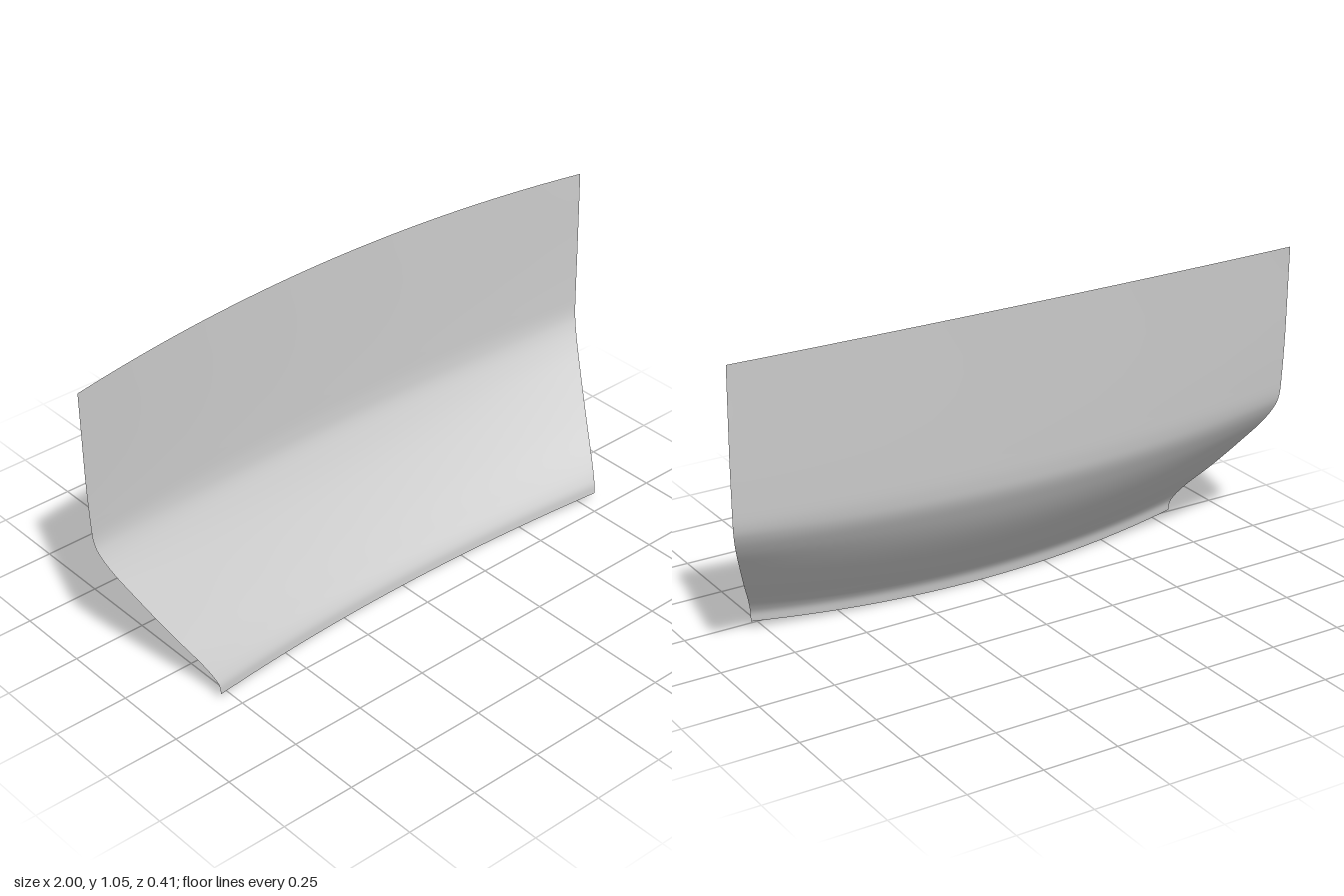
import * as THREE from 'three';

// Matching [y, z] profiles from top to bottom: along the middle and along the side edge
const middle = [
  [1.05, -0.205], [0.6, -0.194], [0.5, -0.189], [0.45, -0.18], [0.386, -0.15], [0.305, -0.1],
  [0.19, -0.01], [0.1, 0.072], [0.058, 0.112], [0.033, 0.127], [0, 0.133],
];
const edge = [
  [1.025, -0.13], [0.6, -0.121], [0.505, -0.114], [0.465, -0.1], [0.41, -0.068], [0.335, -0.012],
  [0.225, 0.075], [0.13, 0.157], [0.085, 0.189], [0.06, 0.201], [0.03, 0.205],
];

const profile = (points) =>
  new THREE.CatmullRomCurve3(points.map(([y, z]) => new THREE.Vector3(0, y, z)));

export function createModel() {
  const model = new THREE.Group();
  model.name = 'curvedPanel';

  const lightGrey = new THREE.MeshStandardMaterial({ color: 0xcccccc, side: THREE.DoubleSide });
  lightGrey.name = 'lightGrey';

  const middleCurve = profile(middle);
  const edgeCurve = profile(edge);

  // Thin sheet: bowed across its width, with sides tapering along straight lines in plan
  const sheet = new THREE.PlaneGeometry(2, 1, 48, 80);
  const position = sheet.attributes.position;
  const m = new THREE.Vector3();
  const e = new THREE.Vector3();
  for (let i = 0; i < position.count; i++) {
    const across = position.getX(i);
    const down = 0.5 - position.getY(i);
    middleCurve.getPoint(down, m);
    edgeCurve.getPoint(down, e);
    const halfWidth = Math.min(1, 1 - (e.z + 0.125) * 0.625);
    m.lerp(e, across * across);
    position.setXYZ(i, across * halfWidth, m.y, m.z);
  }
  sheet.computeVertexNormals();

  const panel = new THREE.Mesh(sheet, lightGrey);
  panel.name = 'panelSheet';
  model.add(panel);
  return model;
}
